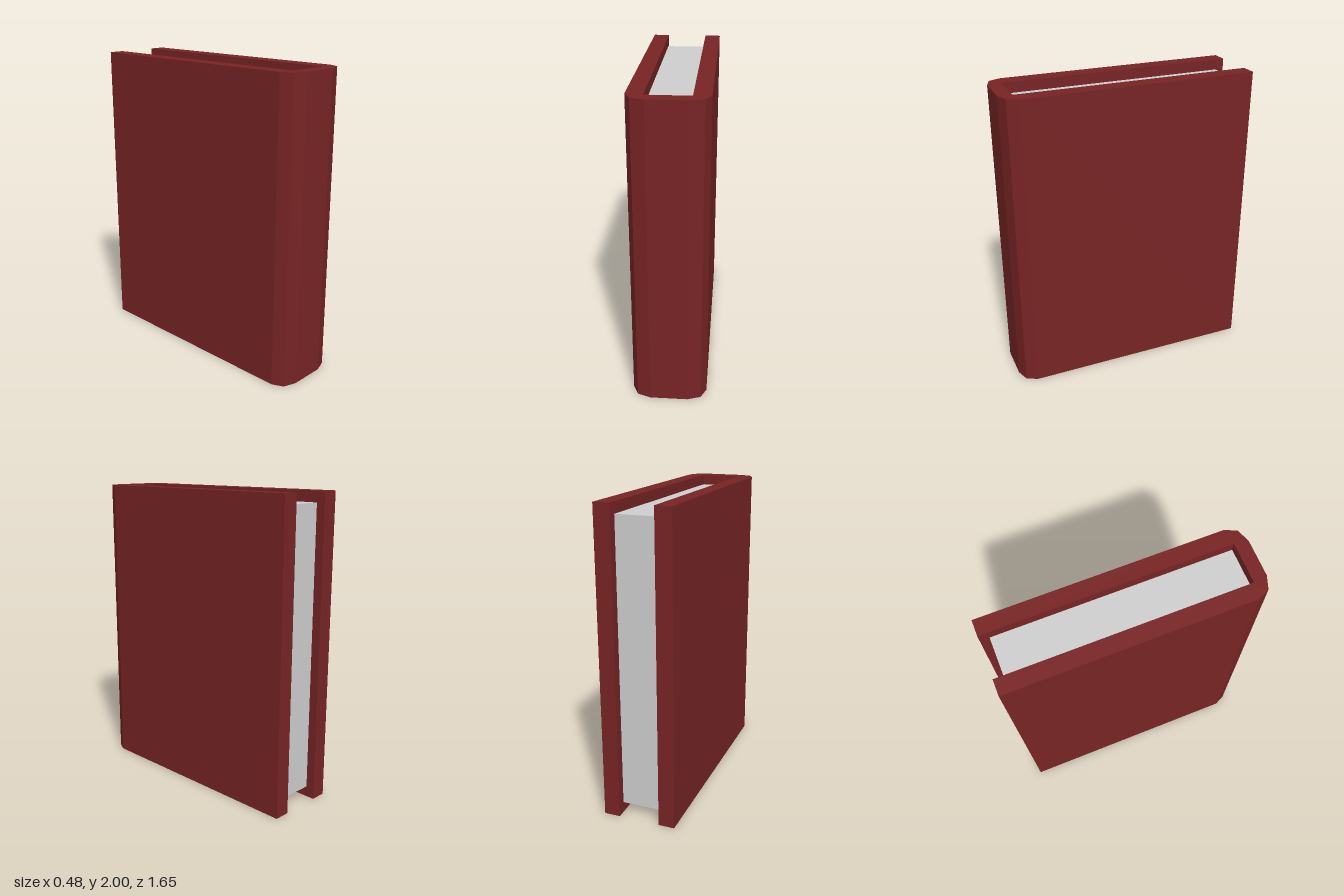
import * as THREE from 'three';

export function createModel() {
  const coverRed = new THREE.MeshStandardMaterial({ name: 'coverRed', color: 0x782425 });
  const pageGrey = new THREE.MeshStandardMaterial({ name: 'pageGrey', color: 0xcfcfcf });

  const book = new THREE.Group();
  book.name = 'book';

  // Cover: U-shaped outline with a faceted spine at the front, extruded upwards
  const back = -0.823;
  const half = [[0.135, 0.735], [0.135, back], [0.24, back], [0.24, 0.72], [0.205, 0.793], [0.12, 0.823]];
  const outline = [...half, ...half.map(([x, z]) => [-x, z]).reverse()];
  const shape = new THREE.Shape(outline.map(([x, z]) => new THREE.Vector2(x, -z)));
  const coverGeometry = new THREE.ExtrudeGeometry(shape, { depth: 2, bevelEnabled: false });
  coverGeometry.rotateX(-Math.PI / 2);
  const cover = new THREE.Mesh(coverGeometry, coverRed);
  cover.name = 'cover';
  book.add(cover);

  // Page block, recessed at the top, bottom and open edge
  const pages = new THREE.Mesh(new THREE.BoxGeometry(0.27, 1.86, 1.5), pageGrey);
  pages.name = 'pages';
  pages.position.set(0, 1, -0.015);
  pages.position.z = (0.735 - 0.765) / 2;
  book.add(pages);

  return book;
}
